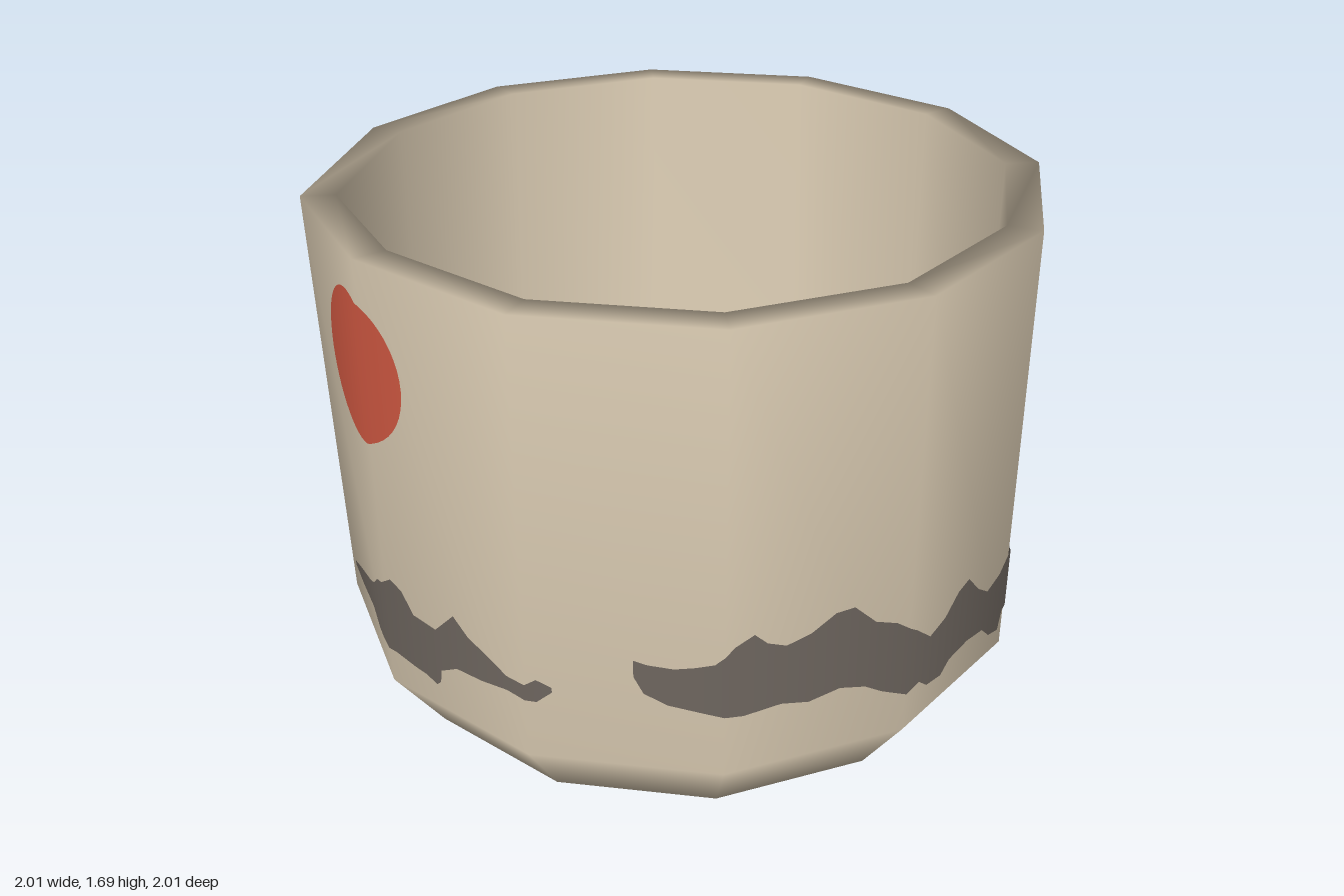
import * as THREE from 'three';

const SIDES = 12, RIM = 1.69, SHOULDER = 0.42, DENT = 0.06, DENT_COLUMN = 10;
const STEP = (Math.PI * 2) / SIDES;

const mat = (name, color, side = THREE.FrontSide) => {
  const m = new THREE.MeshStandardMaterial({ color, side });
  m.name = name;
  return m;
};

const named = (name, geometry, material) => {
  const mesh = new THREE.Mesh(geometry, material);
  mesh.name = name;
  return mesh;
};

// Point just above the faceted outer wall; p counts facets from +z towards +x
function wallPoint(p, y) {
  const i = Math.floor(p), u = p - i, t = (y - SHOULDER) / (RIM - SHOULDER);
  const facet = ((i % SIDES) + SIDES) % SIDES;
  let x = Math.sin(i * STEP) * (1 - u) + Math.sin((i + 1) * STEP) * u;
  let z = Math.cos(i * STEP) * (1 - u) + Math.cos((i + 1) * STEP) * u;
  if (facet === DENT_COLUMN) z += DENT * Math.min(t, 1 - u);
  if (facet === DENT_COLUMN - 1) z += DENT * Math.max(0, u + t - 1);
  return [x * 1.005, y, z * 1.005];
}

// Height on a polyline of [p, y] points
function heightAt(line, p) {
  for (let k = 1; k < line.length; k++) {
    const [p0, y0] = line[k - 1], [p1, y1] = line[k];
    if (p <= p1) return y0 + (y1 - y0) * Math.max(0, (p - p0) / (p1 - p0));
  }
  return line[line.length - 1][1];
}

// Painted patch between a lower and an upper outline, folded over the facets
function paintedPatch(low, high, shift, lift) {
  const start = low[0][0], end = low[low.length - 1][0];
  const cols = [...low, ...high].map(([p]) => p + shift);
  for (let k = Math.ceil(start + shift); k < end + shift; k++) cols.push(k);
  const ps = [...new Set(cols)].sort((a, b) => a - b);
  const rows = 6, pos = [], nor = [], index = [];
  ps.forEach((p, c) => {
    const y0 = heightAt(low, p - shift) + lift, y1 = heightAt(high, p - shift) + lift;
    for (let r = 0; r <= rows; r++) {
      pos.push(...wallPoint(p, y0 + ((y1 - y0) * r) / rows));
      nor.push(Math.sin(p * STEP), 0, Math.cos(p * STEP));
      if (c > 0 && r < rows) {
        const a = (c - 1) * (rows + 1) + r, b = a + rows + 1;
        index.push(a, b, b + 1, a, b + 1, a + 1);
      }
    }
  });
  const g = new THREE.BufferGeometry();
  g.setAttribute('position', new THREE.Float32BufferAttribute(pos, 3));
  g.setAttribute('normal', new THREE.Float32BufferAttribute(nor, 3));
  g.setIndex(index);
  return g;
}

// Half outline of the round sun: sign +1 is the top, -1 the bottom
const sunArc = (sign) => Array.from({ length: 25 }, (_, k) => {
  const a = Math.PI * (1 - k / 24);
  return [-1.133 + 0.413 * Math.cos(a), 1.375 + sign * 0.21 * Math.sin(a)];
});

// Mountain outlines as [facet position, height]
const smallRange = {
  low: [[-1.82, 0.55], [-1.6, 0.55], [-1.33, 0.565], [-1.2, 0.535], [-0.94, 0.53], [-0.8, 0.515],
    [-0.72, 0.51], [-0.64, 0.495], [-0.61, 0.51], [-0.6, 0.55], [-0.48, 0.585], [-0.3, 0.59],
    [-0.12, 0.605], [0.06, 0.6], [0.14, 0.635]],
  high: [[-1.82, 0.565], [-1.6, 0.61], [-1.33, 0.66], [-1.2, 0.69], [-1.12, 0.725], [-1.03, 0.74],
    [-0.94, 0.77], [-0.86, 0.75], [-0.78, 0.69], [-0.62, 0.68], [-0.48, 0.755], [-0.38, 0.71],
    [-0.24, 0.68], [-0.12, 0.65], [0, 0.65], [0.06, 0.67], [0.14, 0.65]],
};
const largeRange = {
  low: [[0.55, 0.71], [0.6, 0.66], [0.72, 0.63], [0.9, 0.615], [1.1, 0.6], [1.3, 0.61], [1.45, 0.595],
    [1.62, 0.615], [1.76, 0.6], [1.86, 0.57], [2, 0.54], [2.12, 0.545], [2.2, 0.51], [2.34, 0.5],
    [2.42, 0.53], [2.6, 0.54], [2.76, 0.53], [2.84, 0.49], [2.94, 0.48], [2.97, 0.54], [3.05, 0.565],
    [3.2, 0.59], [3.45, 0.585], [3.6, 0.6], [3.66, 0.63]],
  high: [[0.55, 0.76], [0.62, 0.75], [0.75, 0.745], [0.85, 0.755], [0.95, 0.77], [1.05, 0.82],
    [1.15, 0.845], [1.22, 0.81], [1.32, 0.79], [1.45, 0.81], [1.58, 0.855], [1.68, 0.86],
    [1.8, 0.8], [1.92, 0.78], [2.06, 0.73], [2.2, 0.67], [2.34, 0.69], [2.46, 0.74], [2.56, 0.755],
    [2.68, 0.69], [2.78, 0.655], [2.9, 0.68], [3, 0.735], [3.1, 0.71], [3.22, 0.68], [3.38, 0.64],
    [3.5, 0.635], [3.6, 0.655], [3.66, 0.65]],
};

export function createModel() {
  const clay = mat('cream clay', 0xdccdb4);
  const foot = mat('black foot', 0x1d1d1d);
  const red = mat('red paint', 0xd45a43, THREE.DoubleSide);
  const grey = mat('grey paint', 0x6e665f, THREE.DoubleSide);
  const cup = new THREE.Group();
  cup.name = 'cup';

  // Bowl: outside, rim and inside in one turned profile
  const profile = [[0.595, 0.14], [0.855, 0.215], [1, SHOULDER], [1, RIM], [0.905, RIM],
    [0.9, 0.46], [0.77, 0.29], [0.5, 0.22], [0, 0.22]].map(([r, y]) => new THREE.Vector2(r, y));
  const bowl = new THREE.LatheGeometry(profile, SIDES);
  // One rim corner leans forward, as if hand shaped
  const bp = bowl.attributes.position;
  for (let k = 0; k < bp.count; k++) {
    const column = Math.floor(k / profile.length);
    if (column === DENT_COLUMN && bp.getY(k) > RIM - 0.01) bp.setZ(k, bp.getZ(k) + DENT);
  }
  cup.add(named('bowl', bowl, clay));

  // Foot ring
  const base = new THREE.CylinderGeometry(0.595, 0.595, 0.14, SIDES);
  base.translate(0, 0.07, 0);
  cup.add(named('foot', base, foot));

  // The painted scene appears twice around the wall
  [['front', 0, 0], ['back', 6.2, 0.015]].forEach(([side, shift, lift]) => {
    cup.add(named(side + 'Sun', paintedPatch(sunArc(-1), sunArc(1), shift, lift), red));
    cup.add(named(side + 'SmallMountains', paintedPatch(smallRange.low, smallRange.high, shift, 0), grey));
    cup.add(named(side + 'LargeMountains', paintedPatch(largeRange.low, largeRange.high, shift, 0), grey));
  });
  return cup;
}
